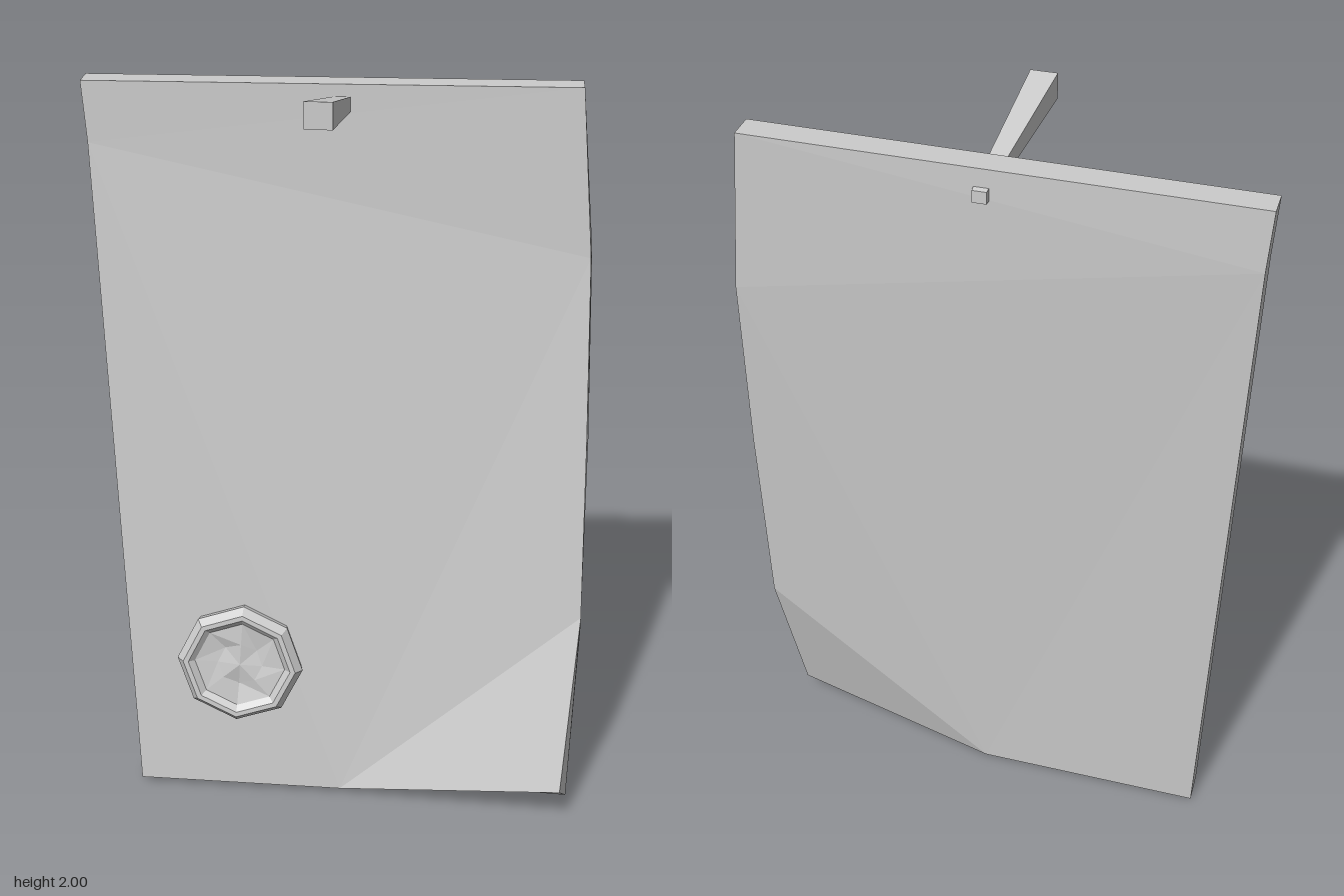
import * as THREE from 'three';

const material = new THREE.MeshStandardMaterial({ color: 0xcccccc, flatShading: true, side: THREE.DoubleSide });

// Solid joining two matching outlines (anticlockwise seen from +z), capped by the given triangles
function slab(front, back, caps) {
  const n = front.length, index = [];
  for (const [a, b, c] of caps) index.push(a, b, c, n + a, n + c, n + b);
  for (let i = 0; i < n; i++) {
    const j = (i + 1) % n;
    index.push(i, n + i, j, j, n + i, n + j);
  }
  const g = new THREE.BufferGeometry();
  g.setAttribute('position', new THREE.Float32BufferAttribute([...front, ...back].flat(), 3));
  g.setIndex(index);
  const flat = g.toNonIndexed();
  flat.computeVertexNormals();
  return flat;
}

function addMesh(group, name, geometry) {
  const mesh = new THREE.Mesh(geometry, material);
  mesh.name = name;
  group.add(mesh);
  return mesh;
}

export function createModel() {
  const model = new THREE.Group();
  model.name = 'pinnedNotice';

  // Sheet: leans forward, straight along the top, with one lower corner curled up
  const front = [
    [-0.555, 0.015, -0.01], [0, 0.015, 0], [0.6, 0.11, 0.105], [0.635, 0.58, -0.02], [0.625, 1.05, -0.07],
    [0.61, 1.54, -0.12], [0.572, 1.96, -0.13], [-0.64, 1.953, -0.13], [-0.63, 1.8, -0.13],
  ];
  const back = [
    [-0.555, 0, -0.08], [0.04, 0, -0.075], [0.62, 0.055, 0.035], [0.64, 0.5, -0.09], [0.632, 1.05, -0.14],
    [0.615, 1.54, -0.185], [0.572, 1.96, -0.2], [-0.64, 1.953, -0.2], [-0.63, 1.8, -0.2],
  ];
  const folds = [[1, 2, 3], [1, 3, 4], [1, 4, 5], [1, 5, 8], [1, 8, 0], [8, 5, 6], [8, 6, 7]];
  addMesh(model, 'sheet', slab(front, back, folds));

  // Nail: square and tapered, driven through the top of the sheet
  const square = (x, y, z, w, h) =>
    [[-1, -1], [1, -1], [1, 1], [-1, 1]].map(([sx, sy]) => [x + sx * w / 2, y + sy * h / 2, z]);
  addMesh(model, 'nail', slab(
    square(-0.031, 1.968, 0.205, 0.066, 0.064),
    square(0.002, 1.893, -0.213, 0.034, 0.03),
    [[0, 1, 2], [0, 2, 3]]));

  // Seal: eight-sided disc with a raised rim and an uneven dished face
  const profile = [
    [0, -0.01], [0.16, -0.01], [0.17, 0.035], [0.152, 0.056], [0.138, 0.056], [0.122, 0.042], [0.06, 0.036], [0, 0.042],
  ].map(([r, h]) => new THREE.Vector2(r, h));
  const disc = new THREE.LatheGeometry(profile, 8);
  const p = disc.attributes.position;
  for (let i = 0; i < p.count; i++) {
    const x = p.getX(i), z = p.getZ(i), r = Math.hypot(x, z);
    if (r > 0.05 && r < 0.07) p.setY(i, p.getY(i) + 0.007 * Math.sin(3 * Math.atan2(z, x)));
  }
  disc.rotateX(Math.PI / 2).rotateZ(-0.07).rotateX(-0.08);
  disc.computeVertexNormals();
  addMesh(model, 'waxSeal', disc).position.set(-0.27, 0.4, -0.04);

  return model;
}
